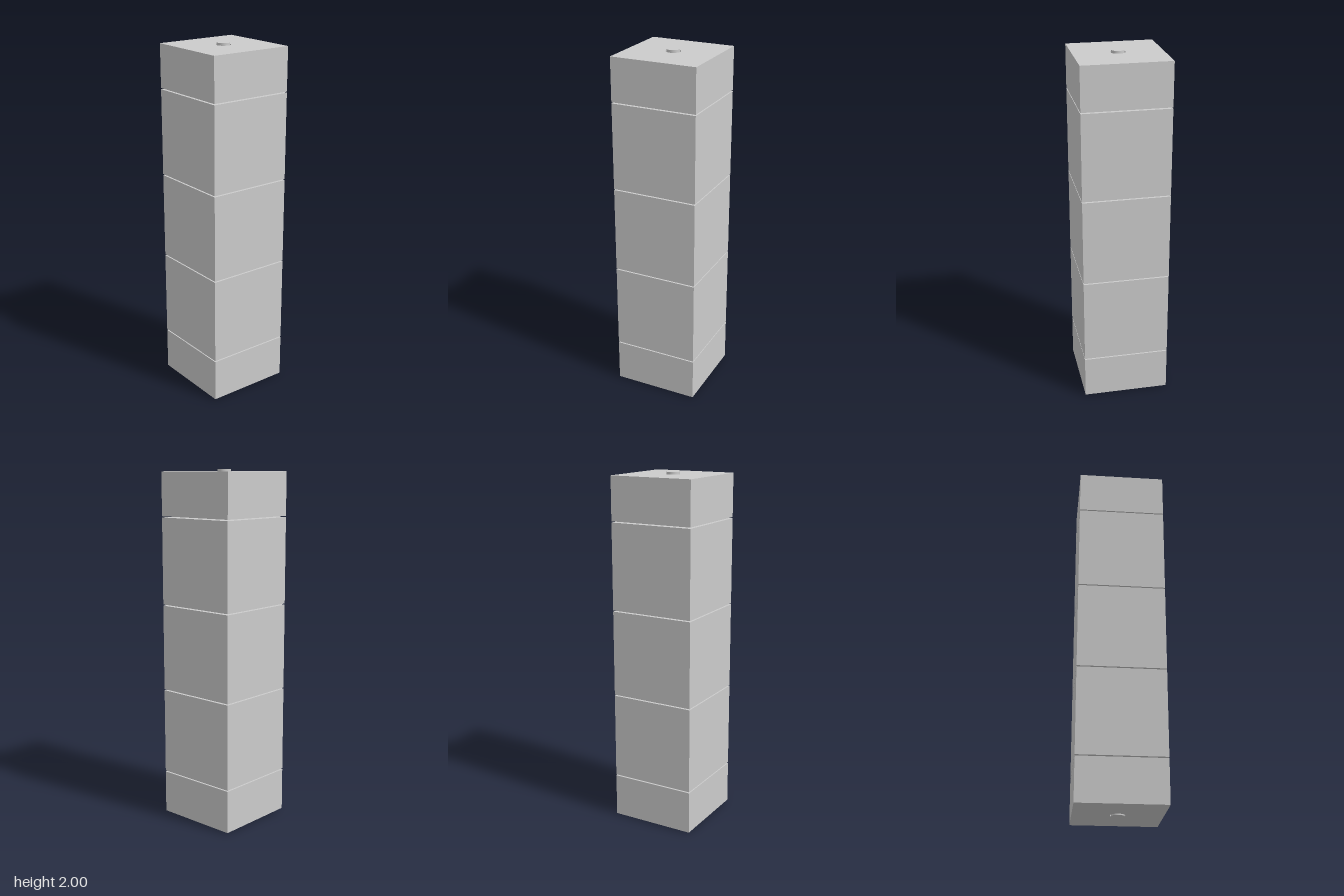
import * as THREE from 'three';

const SIDE = 0.489;        // block width and depth
const GAP = 0.0065;        // slot between neighbouring blocks
const BASE = 0.005;        // underside of the lowest block
const HOLE_RADIUS = 0.041;
const ROD_RADIUS = 0.036;

// Square block with a round bore, standing on y = 0
function blockGeometry(height) {
  const h = SIDE / 2;
  const outline = new THREE.Shape();
  outline.moveTo(-h, -h).lineTo(h, -h).lineTo(h, h).lineTo(-h, h).closePath();
  const bore = new THREE.Path();
  bore.absarc(0, 0, HOLE_RADIUS, 0, Math.PI * 2, true);
  outline.holes.push(bore);
  const geometry = new THREE.ExtrudeGeometry(outline, {
    depth: height, bevelEnabled: false, curveSegments: 32,
  });
  return geometry.rotateX(-Math.PI / 2);
}

export function createModel() {
  const model = new THREE.Group();
  model.name = 'blocksOnRod';
  const material = new THREE.MeshStandardMaterial({ color: 0xcccccc });

  // Half block, three cubes, half block
  const parts = [
    ['bottomHalfBlock', SIDE / 2],
    ['lowerCube', SIDE],
    ['middleCube', SIDE],
    ['upperCube', SIDE],
    ['topHalfBlock', SIDE / 2],
  ];
  let y = BASE;
  for (const [name, height] of parts) {
    const block = new THREE.Mesh(blockGeometry(height), material);
    block.name = name;
    block.position.y = y;
    model.add(block);
    y += height + GAP;
  }

  // Central rod running through every bore
  const rod = new THREE.Mesh(new THREE.CylinderGeometry(ROD_RADIUS, ROD_RADIUS, 2, 48), material);
  rod.name = 'centralRod';
  rod.position.y = 1;
  model.add(rod);

  return model;
}
